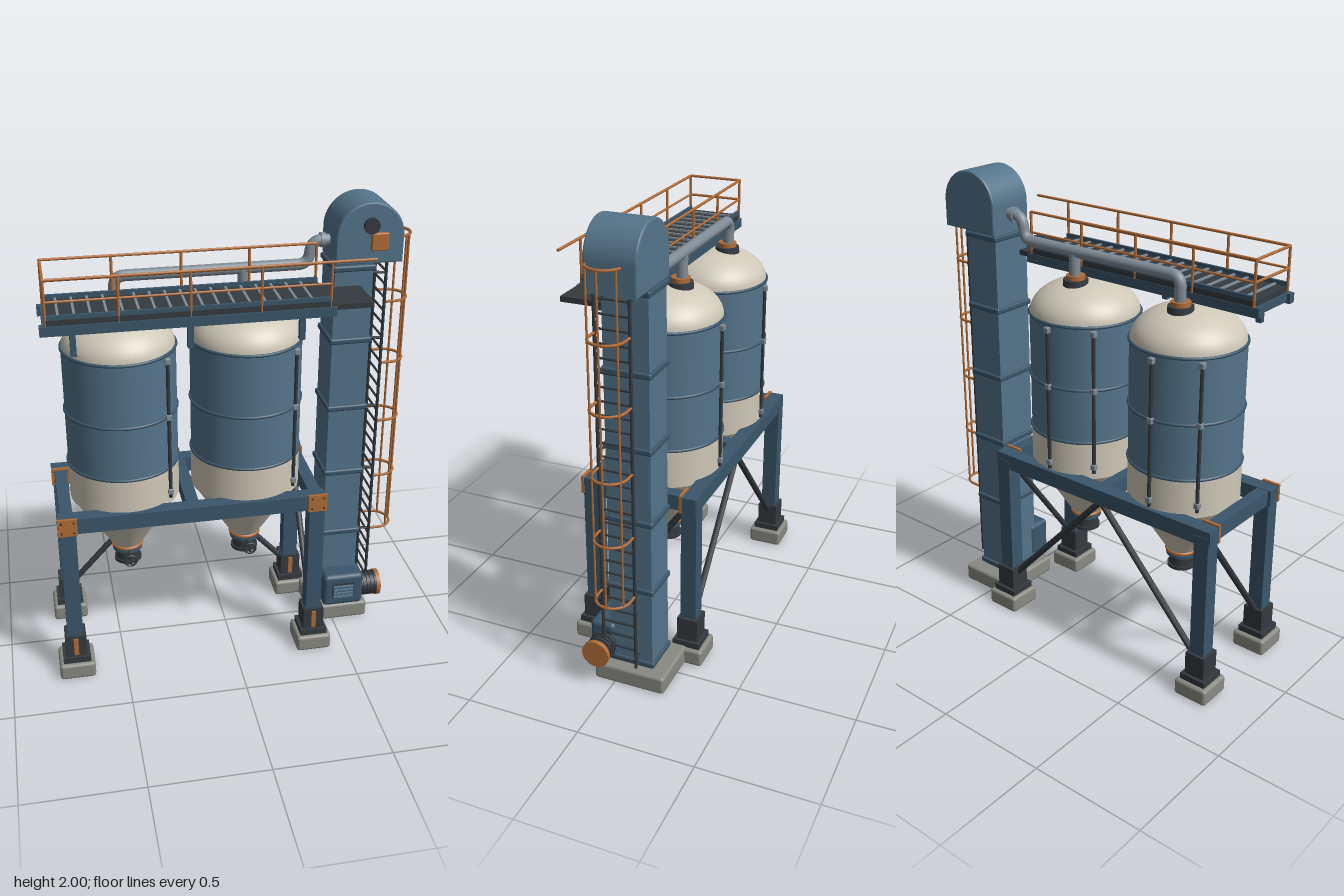
import * as THREE from 'three';
import { RoundedBoxGeometry } from 'three/addons/geometries/RoundedBoxGeometry.js';

const mat = (color, side = THREE.FrontSide) => new THREE.MeshStandardMaterial({ color, side });
const M = {
  blue: mat(0x54748a), navy: mat(0x3b566a), dark: mat(0x343a3f), cream: mat(0xcfc8b8, THREE.DoubleSide),
  orange: mat(0xb26d38), concrete: mat(0x8a8a83), pipe: mat(0x7f8c97),
};
const V = (x, y, z) => new THREE.Vector3(x, y, z);

function add(parent, name, geo, material, x = 0, y = 0, z = 0) {
  const m = new THREE.Mesh(geo, material);
  m.name = name;
  m.position.set(x, y, z);
  parent.add(m);
  return m;
}
// Box given by its limits on each axis
function box(parent, name, material, [x0, x1], [y0, y1], [z0, z1], r = 0) {
  const s = [x1 - x0, y1 - y0, z1 - z0];
  const geo = r ? new RoundedBoxGeometry(...s, 2, r) : new THREE.BoxGeometry(...s);
  return add(parent, name, geo, material, (x0 + x1) / 2, (y0 + y1) / 2, (z0 + z1) / 2);
}
// Round bar between two points
function rod(parent, name, material, a, b, r, seg = 8) {
  const m = add(parent, name, new THREE.CylinderGeometry(r, r, a.distanceTo(b), seg), material);
  m.position.copy(a).lerp(b, 0.5);
  m.quaternion.setFromUnitVectors(V(0, 1, 0), b.clone().sub(a).normalize());
  return m;
}
function ring(parent, name, material, r, t, x, y, z) {
  const m = add(parent, name, new THREE.TorusGeometry(r, t, 8, 48), material, x, y, z);
  m.rotation.x = Math.PI / 2;
  return m;
}
function group(parent, name, x = 0, y = 0, z = 0) {
  const g = new THREE.Group();
  g.name = name;
  g.position.set(x, y, z);
  parent.add(g);
  return g;
}

const SILOS = [-0.447, 0.087];
const LEGX = [-0.715, 0.355];
const LEGZ = [-0.222, 0.222];

function silo(root, cx) {
  const g = group(root, 'silo', cx);
  add(g, 'siloShell', new THREE.CylinderGeometry(0.236, 0.236, 0.52, 48, 1, true), M.blue, 0, 1.2, 0);
  add(g, 'lowerBand', new THREE.CylinderGeometry(0.237, 0.237, 0.17, 48, 1, true), M.cream, 0, 0.855, 0);
  add(g, 'hopperCone', new THREE.CylinderGeometry(0.237, 0.062, 0.275, 48, 1, true), M.cream, 0, 0.6375, 0);
  // Domed roof
  const dome = [];
  for (let i = 0; i <= 12; i++) {
    const a = (i / 12) * Math.PI / 2;
    dome.push(new THREE.Vector2(0.234 * Math.cos(a), 1.455 + 0.14 * Math.sin(a)));
  }
  add(g, 'domeRoof', new THREE.LatheGeometry(dome, 48), M.cream);
  for (const y of [1.455, 1.18, 0.94]) ring(g, 'siloHoop', M.navy, 0.236, 0.007, 0, y, 0);
  // Conduits with clips
  for (const [x, z] of [[0.18, 0.162], [0, -0.242], [-0.18, -0.162]]) {
    rod(g, 'conduit', M.dark, V(x, 0.8, z), V(x, 1.44, z), 0.008);
    for (const y of [0.83, 1.18, 1.43]) add(g, 'conduitClip', new RoundedBoxGeometry(0.024, 0.026, 0.024, 1, 0.004), M.pipe, x, y, z);
  }
  // Roof inlet
  add(g, 'inletNeck', new THREE.CylinderGeometry(0.052, 0.056, 0.045, 24), M.dark, 0, 1.582, -0.06);
  add(g, 'inletCollar', new THREE.CylinderGeometry(0.04, 0.04, 0.02, 24), M.orange, 0, 1.613, -0.06);
  rod(g, 'roofHatchStem', M.dark, V(0, 1.57, 0.08), V(0, 1.61, 0.08), 0.012);
  add(g, 'roofHatchCap', new THREE.CylinderGeometry(0.03, 0.03, 0.01, 16), M.dark, 0, 1.612, 0.08);
  // Discharge gate and hand wheel
  ring(g, 'outletRing', M.orange, 0.062, 0.009, 0, 0.498, 0);
  add(g, 'outletFlange', new THREE.CylinderGeometry(0.066, 0.066, 0.014, 24), M.navy, 0, 0.48, 0);
  add(g, 'outletSpout', new THREE.CylinderGeometry(0.052, 0.052, 0.07, 24), M.dark, 0, 0.452, 0);
  add(g, 'outletLip', new THREE.CylinderGeometry(0.06, 0.06, 0.014, 24), M.dark, 0, 0.421, 0);
  rod(g, 'valveStem', M.dark, V(0, 0.478, 0.04), V(0, 0.478, 0.135), 0.008);
  add(g, 'handWheel', new THREE.TorusGeometry(0.025, 0.005, 8, 24), M.dark, 0, 0.478, 0.132);
  box(g, 'wheelSpoke', M.dark, [-0.025, 0.025], [0.475, 0.481], [0.129, 0.135]);
  box(g, 'wheelSpoke', M.dark, [-0.003, 0.003], [0.453, 0.503], [0.129, 0.135]);
}

function supportFrame(root) {
  const g = group(root, 'supportFrame');
  for (const x of LEGX) for (const z of LEGZ) {
    const sq = (name, m, h, y, r = 0) => box(g, name, m, [x - h, x + h], y, [z - h, z + h], r);
    sq('footing', M.concrete, 0.078, [0, 0.075], 0.014);
    sq('footPlate', M.dark, 0.06, [0.075, 0.102]);
    sq('legShoe', M.dark, 0.046, [0.1, 0.205]);
    sq('leg', M.navy, 0.034, [0.1, 0.76]);
    box(g, 'shoeRib', M.orange, [x - 0.01, x + 0.01], [0.11, 0.195], [z + 0.044, z + 0.052]);
    box(g, 'gussetPlate', M.orange, [x - 0.041, x + 0.041], [0.718, 0.797], [z + 0.03, z + 0.042]);
    for (const u of [-1, 1]) for (const v of [-1, 1]) {
      rod(g, 'gussetBolt', M.dark, V(x + u * 0.026, 0.757 + v * 0.024, z + 0.04), V(x + u * 0.026, 0.757 + v * 0.024, z + 0.045), 0.005);
    }
  }
  for (const z of LEGZ) box(g, 'longBeam', M.navy, [-0.755, 0.393], [0.72, 0.79], [z - 0.032, z + 0.032]);
  for (const x of [LEGX[0], -0.18, LEGX[1]]) box(g, 'crossBeam', M.navy, [x - 0.027, x + 0.027], [0.722, 0.788], [-0.2, 0.2]);
  // Diagonal braces at the rear and the ends
  for (const x of LEGX) {
    const inner = x + (x < 0 ? 0.03 : -0.03);
    rod(g, 'rearBrace', M.dark, V(inner, 0.17, -0.222), V(-0.18, 0.72, -0.222), 0.014);
    rod(g, 'endBrace', M.dark, V(x, 0.18, 0.2), V(x, 0.74, -0.21), 0.014);
  }
}

function elevator(root) {
  const g = group(root, 'bucketElevator');
  const zc = -0.06;
  box(g, 'elevatorSlab', M.concrete, [0.395, 0.665], [0, 0.08], [-0.225, 0.09], 0.014);
  box(g, 'elevatorShaft', M.blue, [0.451, 0.614], [0.08, 1.78], [zc - 0.095, zc + 0.095]);
  for (const y of [0.1, 0.455, 0.77, 1.09, 1.405, 1.725]) {
    box(g, 'shaftFlange', M.navy, [0.441, 0.624], [y - 0.013, y + 0.013], [zc - 0.105, zc + 0.105], 0.008);
  }
  // Arched head
  const s = new THREE.Shape();
  s.moveTo(0.455, 1.75);
  s.lineTo(0.727, 1.75);
  s.lineTo(0.727, 1.857);
  s.absarc(0.591, 1.857, 0.136, 0, Math.PI, false);
  s.lineTo(0.455, 1.75);
  const head = new THREE.ExtrudeGeometry(s, { depth: 0.198, bevelSize: 0.007, bevelThickness: 0.007, bevelSegments: 2, curveSegments: 32 });
  add(g, 'elevatorHead', head, M.blue, 0, 0, zc - 0.099);
  rod(g, 'headBearing', M.dark, V(0.591, 1.905, 0.03), V(0.591, 1.905, 0.062), 0.033, 24);
  box(g, 'headCoverPlate', M.orange, [0.592, 0.665], [1.8, 1.875], [0.04, 0.062], 0.006);
  // Boot drive: gearbox with vents, ribbed motor
  box(g, 'gearbox', M.navy, [0.443, 0.632], [0.1, 0.262], [0.01, 0.122], 0.02);
  box(g, 'ventPanel', M.dark, [0.483, 0.585], [0.145, 0.222], [0.115, 0.126]);
  for (let i = 0; i < 4; i++) box(g, 'ventSlat', M.blue, [0.488, 0.58], [0.153 + i * 0.018, 0.16 + i * 0.018], [0.12, 0.138]);
  const my = 0.166, mz = 0.056;
  rod(g, 'driveMotor', M.dark, V(0.62, my, mz), V(0.71, my, mz), 0.05, 24);
  for (let i = 0; i < 4; i++) rod(g, 'motorFin', M.dark, V(0.64 + i * 0.018, my, mz), V(0.65 + i * 0.018, my, mz), 0.057, 24);
  rod(g, 'motorCap', M.orange, V(0.704, my, mz), V(0.722, my, mz), 0.06, 28);
}

function cagedLadder(root) {
  const g = group(root, 'cagedLadder');
  const x = 0.668, zc = -0.033, r = 0.072;
  for (const sgn of [-1, 1]) {
    rod(g, 'ladderRail', M.dark, V(x, 0.11, zc + sgn * r), V(x, 1.85, zc + sgn * r), 0.007);
    for (const y of [0.14, 0.46, 0.78, 1.09, 1.41, 1.7]) rod(g, 'ladderBracket', M.dark, V(0.6, y, zc + sgn * 0.055), V(x, y, zc + sgn * r), 0.006);
  }
  for (let y = 0.14; y < 1.84; y += 0.058) rod(g, 'ladderRung', M.dark, V(x, y, zc - r), V(x, y, zc + r), 0.005, 6);
  // Cage hoops: straight sides closed by a half circle
  for (let i = 0; i < 6; i++) {
    const pts = [V(x, 0, -r), V(x + 0.02, 0, -r)];
    for (let k = 0; k <= 10; k++) {
      const a = -Math.PI / 2 + (k / 10) * Math.PI;
      pts.push(V(0.711 + r * Math.cos(a), 0, r * Math.sin(a)));
    }
    pts.push(V(x + 0.02, 0, r), V(x, 0, r));
    add(g, 'cageHoop', new THREE.TubeGeometry(new THREE.CatmullRomCurve3(pts), 40, 0.006, 6), M.orange, 0, 0.46 + i * 0.278, zc);
  }
  for (const a of [-1, 0, 1]) {
    const px = 0.711 + r * Math.cos(a), pz = zc + r * Math.sin(a);
    rod(g, 'cageStrip', M.orange, V(px, 0.455, pz), V(px, 1.855, pz), 0.005, 6);
  }
}

function walkway(root) {
  const g = group(root, 'walkway');
  for (const z of [0.005, 0.23]) box(g, 'walkwayBeam', M.navy, [-0.765, 0.405], [1.605, 1.645], [z - 0.016, z + 0.016]);
  for (const x of [-0.74, -0.46, -0.18, 0.1, 0.38]) box(g, 'walkwayJoist', M.navy, [x - 0.012, x + 0.012], [1.612, 1.645], [0.005, 0.23]);
  box(g, 'deck', M.dark, [-0.742, 0.385], [1.645, 1.668], [-0.008, 0.24]);
  for (const z of [0, 0.232]) box(g, 'toeBoard', M.navy, [-0.742, 0.385], [1.645, 1.685], [z - 0.006, z + 0.006]);
  for (let i = 0; i < 17; i++) {
    const x = -0.69 + i * 0.0625;
    box(g, 'deckSlat', M.pipe, [x - 0.005, x + 0.005], [1.666, 1.675], [0.008, 0.224]);
  }
  box(g, 'accessPlate', M.dark, [0.37, 0.56], [1.628, 1.65], [-0.008, 0.235]);
  for (const x of [-0.64, -0.18, 0.272]) box(g, 'walkwayBracket', M.navy, [x - 0.012, x + 0.012], [1.505, 1.61], [0.198, 0.222]);
  // Guard rails
  for (const z of [-0.006, 0.235]) {
    for (const x of [-0.74, -0.46, -0.18, 0.1, 0.38]) rod(g, 'railPost', M.orange, V(x, 1.64, z), V(x, 1.83, z), 0.006);
    rod(g, 'topRail', M.orange, V(-0.742, 1.828, z), V(z > 0 ? 0.56 : 0.38, 1.828, z), 0.006);
    rod(g, 'midRail', M.orange, V(-0.742, 1.74, z), V(0.38, 1.74, z), 0.005);
  }
  for (const y of [1.74, 1.828]) rod(g, 'endRail', M.orange, V(-0.74, y, -0.006), V(-0.74, y, 0.235), 0.006);
}

function feedPipe(root) {
  const g = group(root, 'feedPipe');
  const z = -0.066;
  // Path with rounded elbows
  const path = new THREE.CurvePath();
  const c = [V(SILOS[0], 1.6, z), V(SILOS[0], 1.722, z), V(0.362, 1.722, z), V(0.375, 1.822, z), V(0.47, 1.822, z)];
  let last = c[0];
  for (let i = 1; i < 4; i++) {
    const d0 = c[i - 1].clone().sub(c[i]).setLength(0.045).add(c[i]);
    const d1 = c[i + 1].clone().sub(c[i]).setLength(0.045).add(c[i]);
    path.add(new THREE.LineCurve3(last, d0));
    path.add(new THREE.QuadraticBezierCurve3(d0, c[i], d1));
    last = d1;
  }
  path.add(new THREE.LineCurve3(last, c[4]));
  add(g, 'mainPipe', new THREE.TubeGeometry(path, 160, 0.024, 16), M.pipe);
  rod(g, 'dropPipe', M.pipe, V(SILOS[1], 1.6, z), V(SILOS[1], 1.72, z), 0.024, 16);
  rod(g, 'pipeCoupling', M.pipe, V(0.41, 1.822, z), V(0.43, 1.822, z), 0.031, 20);
}

export function createModel() {
  const root = new THREE.Group();
  root.name = 'siloPlant';
  for (const x of SILOS) silo(root, x);
  supportFrame(root);
  elevator(root);
  cagedLadder(root);
  walkway(root);
  feedPipe(root);
  return root;
}
